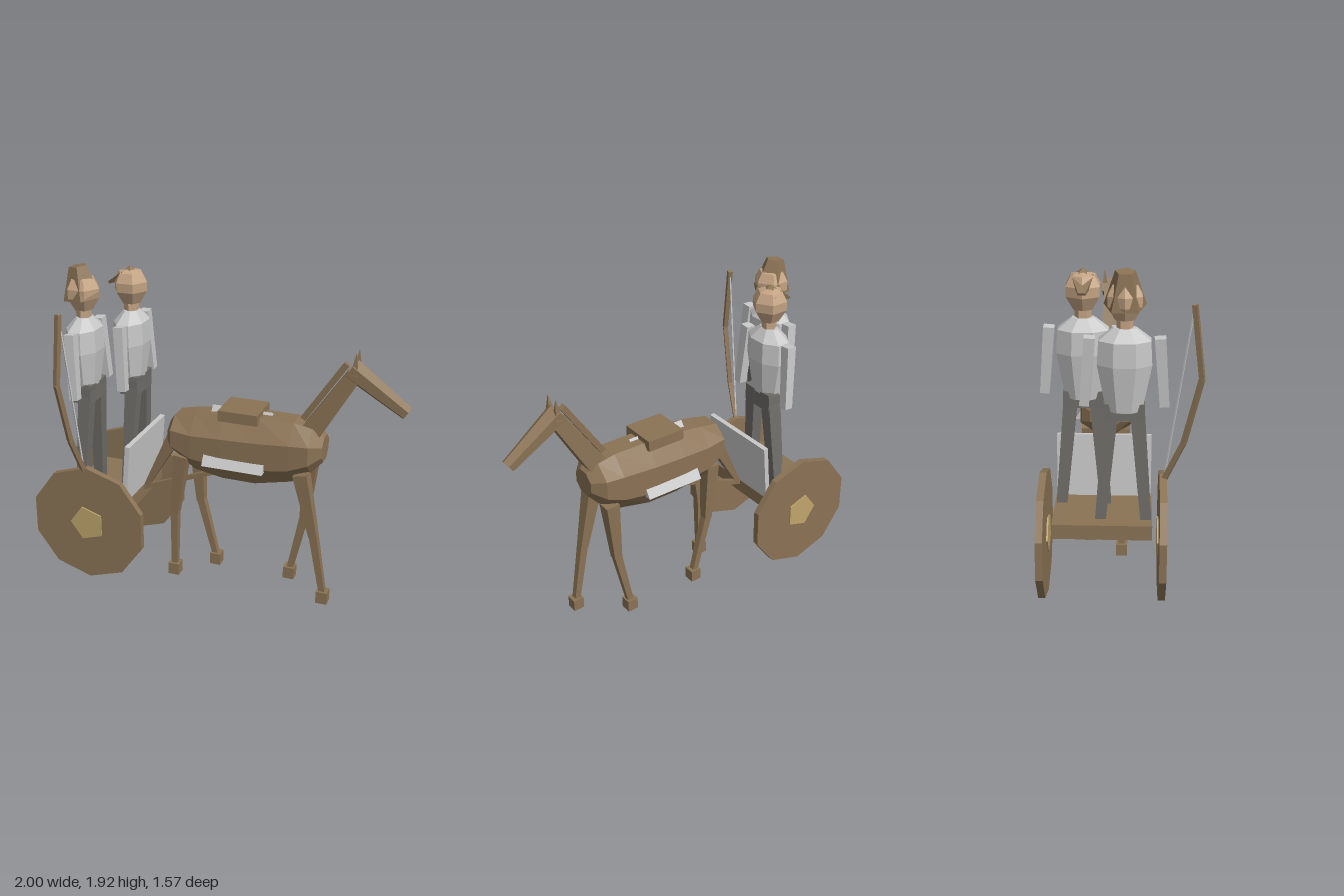
import * as THREE from 'three';

const mat = (name, color, side = THREE.FrontSide) => {
  const m = new THREE.MeshStandardMaterial({ color, flatShading: true, side });
  m.name = name;
  return m;
};

export function createModel() {
  const wood = mat('brown', 0x8b7355);
  const tan = mat('tan', 0xc0a46c);
  const cloth = mat('lightGrey', 0xc8c8c8, THREE.DoubleSide);
  const trousers = mat('darkGrey', 0x706e6a);
  const skin = mat('skin', 0xc4a484);

  const V = (x, y, z) => new THREE.Vector3(x, y, z);
  const UP = V(0, 1, 0);
  const root = new THREE.Group();
  root.name = 'horseAndCart';

  const add = (parent, name, geo, material, x = 0, y = 0, z = 0) => {
    const m = new THREE.Mesh(geo, material);
    m.name = name;
    m.position.set(x, y, z);
    parent.add(m);
    return m;
  };
  const box = (parent, name, material, size, pos) =>
    add(parent, name, new THREE.BoxGeometry(...size), material, ...pos);
  // Tapered bar between two points; wa and wb are its widths at each end
  const bar = (parent, name, material, a, b, wa, wb, sides = 4) => {
    const d = b.clone().sub(a);
    const k = 0.5 / Math.cos(Math.PI / sides);
    const g = new THREE.CylinderGeometry(wb * k, wa * k, d.length(), sides);
    g.rotateY(Math.PI / sides);
    const m = add(parent, name, g, material);
    m.position.copy(a).add(b).multiplyScalar(0.5);
    m.quaternion.setFromUnitVectors(UP, d.normalize());
    return m;
  };

  // Everything is laid out along +x and turned at the end
  const group = (name) => {
    const g = new THREE.Group();
    g.name = name;
    root.add(g);
    return g;
  };

  // ---- Cart ----
  const cart = group('cart');
  for (const s of [1, -1]) {
    const wheel = new THREE.CylinderGeometry(0.37, 0.37, 0.04, 10).rotateX(Math.PI / 2);
    add(cart, 'wheel', wheel, wood, -0.588, 0.38, s * 0.333);
    const hub = new THREE.CylinderGeometry(0.113, 0.113, 0.058, 5).rotateY(-Math.PI / 2).rotateX(Math.PI / 2);
    add(cart, 'hub', hub, tan, -0.588, 0.38, s * 0.333);
  }
  box(cart, 'platform', wood, [0.42, 0.085, 0.55], [-0.572, 0.482, 0]);
  box(cart, 'frontPanel', cloth, [0.03, 0.39, 0.54], [-0.365, 0.695, 0]).rotation.z = -0.08;
  bar(cart, 'shaft', wood, V(-0.38, 0.5, 0), V(0.17, 0.715, 0), 0.028, 0.028);

  // ---- Horse body: octagonal sections lofted along x ----
  const horse = group('horse');
  const sections = [ // x, bottom, top, half width
    [-0.165, 0.85, 1.0, 0.09], [-0.13, 0.81, 1.05, 0.14], [0, 0.72, 1.075, 0.155],
    [0.18, 0.69, 1.1, 0.162], [0.38, 0.69, 1.11, 0.163], [0.6, 0.74, 1.11, 0.16],
    [0.71, 0.81, 1.085, 0.15], [0.775, 0.88, 1.03, 0.08],
  ];
  const pos = [], idx = [], N = 8, k8 = 1 / Math.cos(Math.PI / N);
  for (const [x, lo, hi, w] of sections) {
    for (let i = 0; i < N; i++) {
      const a = ((i + 0.5) / N) * Math.PI * 2;
      pos.push(x, (lo + hi) / 2 + Math.sin(a) * k8 * (hi - lo) / 2, Math.cos(a) * k8 * w);
    }
  }
  for (let s = 0; s < sections.length - 1; s++) {
    for (let i = 0; i < N; i++) {
      const a = s * N + i, b = s * N + (i + 1) % N;
      idx.push(a, b, a + N, b, b + N, a + N);
    }
  }
  const last = (sections.length - 1) * N;
  for (let i = 1; i < N - 1; i++) {
    idx.push(0, i + 1, i);
    idx.push(last, last + i, last + i + 1);
  }
  // Corners wind outwards: section angle runs from +z towards +y
  for (let i = 0; i < idx.length; i += 3) [idx[i + 1], idx[i + 2]] = [idx[i + 2], idx[i + 1]];
  const bodyGeo = new THREE.BufferGeometry();
  bodyGeo.setAttribute('position', new THREE.Float32BufferAttribute(pos, 3));
  bodyGeo.setIndex(idx);
  bodyGeo.computeVertexNormals();
  add(horse, 'horseBody', bodyGeo, wood);

  // Neck, mane, head, ears, tail
  bar(horse, 'neck', wood, V(0.66, 1.0, 0), V(0.925, 1.43, 0), 0.12, 0.085);
  bar(horse, 'mane', wood, V(0.64, 1.12, 0), V(0.875, 1.48, 0), 0.035, 0.035);
  bar(horse, 'horseHead', wood, V(0.9, 1.455, 0), V(1.222, 1.235, 0), 0.115, 0.072, 6);
  for (const s of [1, -1]) {
    bar(horse, 'ear', wood, V(0.925, 1.43, s * 0.035), V(0.93, 1.555, s * 0.042), 0.045, 0.002);
  }
  bar(horse, 'tail', wood, V(-0.345, 0.525, 0), V(-0.13, 0.93, 0), 0.03, 0.085);

  // Walking legs: hip, knee and hoof x positions
  const legs = [
    ['frontLeg', 1, [0.667, 0.756, 0.828]], ['frontLeg', -1, [0.673, 0.645, 0.565]],
    ['hindLeg', 1, [-0.067, -0.114, -0.118]], ['hindLeg', -1, [-0.045, -0.02, 0.082]],
  ];
  for (const [name, s, [hip, knee, hoof]] of legs) {
    const z = s * 0.102;
    bar(horse, name + 'Upper', wood, V(knee, 0.43, z), V(hip, 0.82, z), 0.05, 0.085);
    bar(horse, name + 'Lower', wood, V(hoof, 0.05, z), V(knee, 0.44, z), 0.036, 0.048);
    box(horse, 'hoof', wood, [0.068, 0.075, 0.068], [hoof, 0.0375, z]);
  }

  // Saddle over a ridged blanket
  box(horse, 'saddle', wood, [0.24, 0.065, 0.235], [0.28, 1.108, 0]);
  const ridge = new THREE.Shape([
    new THREE.Vector2(-0.195, 0.81), new THREE.Vector2(0.195, 0.81), new THREE.Vector2(0, 1.125),
  ]);
  const blanket = new THREE.ExtrudeGeometry(ridge, { depth: 0.37, bevelEnabled: false });
  add(horse, 'blanket', blanket.rotateY(Math.PI / 2), cloth, 0.088);

  // ---- Riders ----
  const lathe = (pts, sides) => new THREE.LatheGeometry(pts.map((p) => new THREE.Vector2(...p)), sides);
  const makeRider = (name, x, z) => {
    const r = group(name);
    r.position.set(x, 0, z);
    const torso = lathe([[0, 1.16], [0.095, 1.16], [0.145, 1.42], [0.138, 1.55], [0.06, 1.615], [0, 1.615]], 8);
    torso.rotateY(Math.PI / 8).scale(0.72, 1, 1.08);
    add(r, 'torso', torso, cloth);
    add(r, 'neck', new THREE.CylinderGeometry(0.045, 0.045, 0.1, 6), skin, 0, 1.64, 0);
    const head = lathe([[0, 1.66], [0.058, 1.66], [0.103, 1.735], [0.105, 1.79], [0.075, 1.845], [0, 1.87]], 6);
    add(r, 'head', head.rotateY(Math.PI / 6), skin);
    box(r, 'hips', trousers, [0.115, 0.095, 0.22], [0.015, 1.155, 0]);
    for (const s of [1, -1]) {
      bar(r, 'arm', cloth, V(0.03, 1.175, s * 0.215), V(0.005, 1.56, s * 0.185), 0.052, 0.06);
      bar(r, 'leg', trousers, V(0, 0.52, s * 0.125), V(0.035, 1.22, s * 0.065), 0.06, 0.08);
    }
    return r;
  };

  // Rear rider with a tall hat tipped backwards
  const archer = makeRider('rearRider', -0.672, 0.115);
  const hat = add(archer, 'tallHat', new THREE.CylinderGeometry(0.055, 0.118, 0.19, 5).rotateY(Math.PI / 2),
    wood, -0.01, 1.82, 0);
  hat.rotation.z = 0.14;

  // Front rider with a low cap and a peak at the back
  const driver = makeRider('frontRider', -0.472, -0.112);
  add(driver, 'cap', new THREE.ConeGeometry(0.08, 0.055, 5).rotateY(Math.PI / 2), wood, 0, 1.855, 0);
  const peak = bar(driver, 'capPeak', wood, V(-0.02, 1.83, 0), V(-0.135, 1.77, 0), 0.12, 0.04);
  peak.scale.x = 0.4;

  // ---- Bow held at the rear rider's side ----
  const bow = group('bow');
  const limb = [
    V(-0.643, 1.73, 0.476), V(-0.651, 1.33, 0.525), V(-0.63, 0.96, 0.44), V(-0.605, 0.72, 0.335),
  ];
  for (let i = 0; i < 3; i++) bar(bow, 'bowLimb', wood, limb[i], limb[i + 1], 0.028, 0.028);
  bar(bow, 'bowString', cloth, limb[0], limb[3], 0.008, 0.008);

  root.rotation.y = -THREE.MathUtils.degToRad(35);
  root.position.set(-0.03, 0, 0.043);
  const model = new THREE.Group();
  model.name = 'model';
  model.add(root);
  return model;
}
